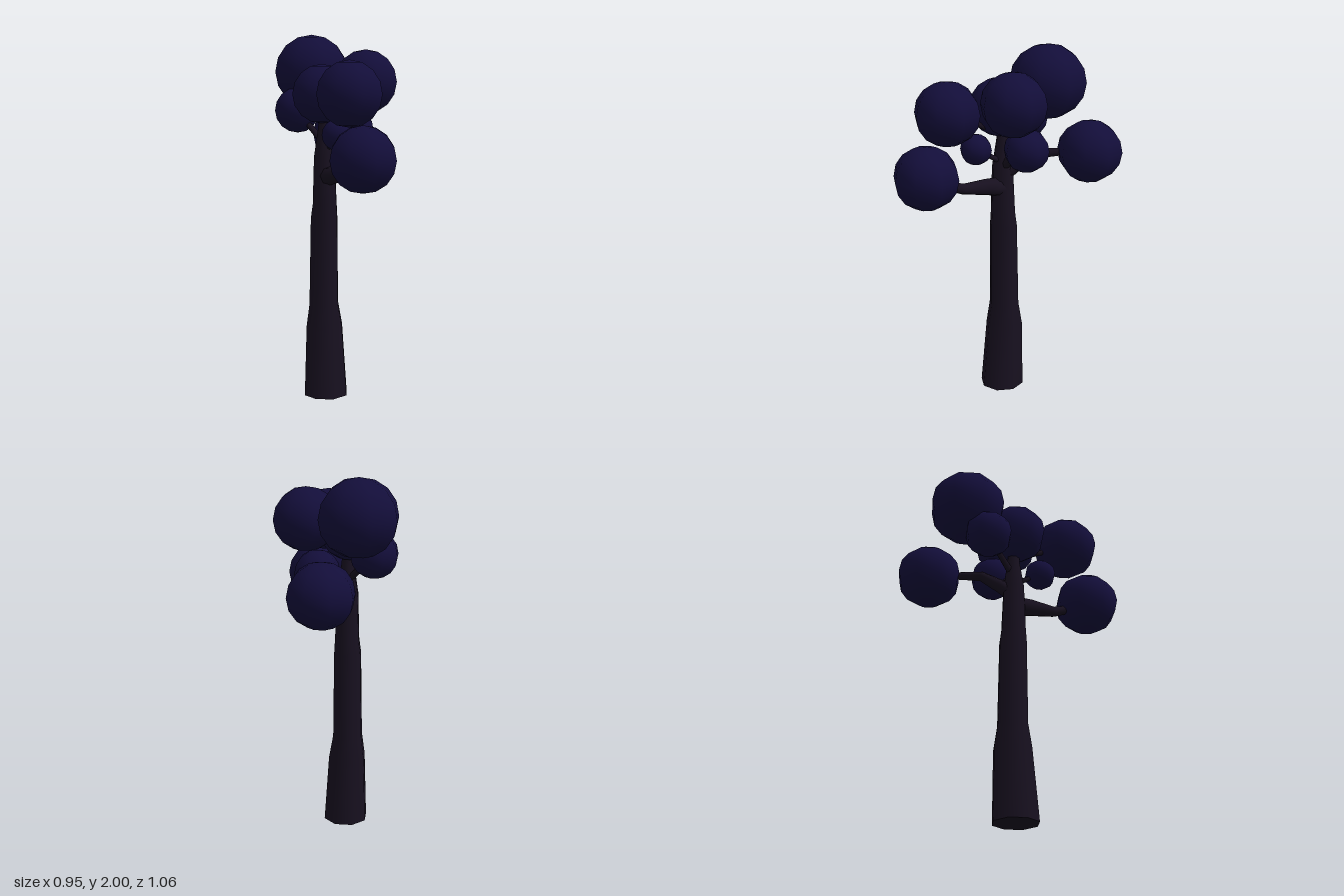
import * as THREE from 'three';
import { toCreasedNormals } from 'three/addons/utils/BufferGeometryUtils.js';

const SIDES = 8;
const barkMaterial = new THREE.MeshStandardMaterial({ color: 0x17101f });
const leafMaterial = new THREE.MeshStandardMaterial({ color: 0x130e3a });

// Tapered limb through sections [x, y, z, radius], closed at both ends
function limbGeometry(sections) {
  const centres = sections.map(([x, y, z]) => new THREE.Vector3(x, y, z));
  const last = centres.length - 1;
  const axis = centres[last].clone().sub(centres[0]).normalize();
  // A near-vertical limb keeps its rings level, so its foot sits flat
  if (axis.y > 0.98) axis.set(0, 1, 0);
  const turn = new THREE.Quaternion().setFromUnitVectors(new THREE.Vector3(0, 1, 0), axis);
  const positions = [];
  const indices = [];
  sections.forEach(([, , , r], i) => {
    for (let s = 0; s < SIDES; s++) {
      const a = (s / SIDES) * Math.PI * 2 + 0.33;
      const p = new THREE.Vector3(Math.sin(a) * r, 0, Math.cos(a) * r).applyQuaternion(turn).add(centres[i]);
      positions.push(p.x, p.y, p.z);
      if (i === last) continue;
      const n = (s + 1) % SIDES;
      const a0 = i * SIDES + s, a1 = i * SIDES + n;
      indices.push(a0, a1, a1 + SIDES, a0, a1 + SIDES, a0 + SIDES);
    }
  });
  for (let s = 1; s < SIDES - 1; s++) {
    indices.push(0, s + 1, s);
    const t = last * SIDES;
    indices.push(t, t + s, t + s + 1);
  }
  const geometry = new THREE.BufferGeometry();
  geometry.setAttribute('position', new THREE.Float32BufferAttribute(positions, 3));
  geometry.setIndex(indices);
  return toCreasedNormals(geometry, 1.1);
}

function addLimb(group, name, sections) {
  const mesh = new THREE.Mesh(limbGeometry(sections), barkMaterial);
  mesh.name = name;
  group.add(mesh);
}

export function createModel() {
  const tree = new THREE.Group();
  tree.name = 'tree';

  // Trunk: flared foot, stepped taper
  addLimb(tree, 'trunk', [
    [-0.115, 0, -0.082, 0.126],
    [-0.108, 0.39, -0.098, 0.106],
    [-0.11, 0.52, -0.1, 0.085],
    [-0.11, 1.0, -0.095, 0.078],
    [-0.11, 1.08, -0.09, 0.07],
    [-0.112, 1.34, -0.09, 0.06],
    [-0.11, 1.5, -0.09, 0.036],
    [-0.12, 1.68, -0.09, 0.025],
  ]);

  // Branches reaching into the leaf clumps
  const branches = {
    lowFrontBranch: [[-0.11, 1.23, -0.08, 0.055], [-0.145, 1.25, 0.02, 0.048], [-0.2, 1.27, 0.17, 0.03], [-0.28, 1.32, 0.3, 0.022]],
    backBranch: [[-0.11, 1.3, -0.09, 0.05], [-0.05, 1.35, -0.14, 0.038], [0.03, 1.41, -0.2, 0.028], [0.24, 1.44, -0.3, 0.018]],
    smallFrontTwig: [[-0.11, 1.38, -0.07, 0.016], [-0.15, 1.43, 0.01, 0.013], [-0.18, 1.47, 0.07, 0.01]],
    smallSideTwig: [[-0.1, 1.34, -0.08, 0.028], [-0.04, 1.41, -0.06, 0.024], [0.06, 1.47, -0.045, 0.016]],
    smallBackTwig: [[-0.11, 1.42, -0.1, 0.02], [-0.1, 1.57, -0.3, 0.012]],
    highFrontTwig: [[-0.12, 1.55, -0.06, 0.02], [-0.24, 1.68, 0.2, 0.012]],
    highSideTwig: [[-0.1, 1.58, -0.08, 0.02], [0.04, 1.74, 0.05, 0.012]],
    highBackTwig: [[-0.1, 1.58, -0.12, 0.02], [0.03, 1.78, -0.3, 0.012]],
  };
  for (const [name, sections] of Object.entries(branches)) addLimb(tree, name, sections);

  // Leaf clumps: [x, y, z, radius]
  const clumps = {
    topClump: [0.036, 1.795, -0.325, 0.21],
    highFrontClump: [-0.255, 1.69, 0.225, 0.176],
    highSideClump: [0.055, 1.745, 0.062, 0.176],
    lowFrontClump: [-0.303, 1.365, 0.36, 0.176],
    lowBackClump: [0.3, 1.435, -0.335, 0.176],
    crownClump: [-0.13, 1.68, -0.09, 0.163],
    innerSideClump: [0.07, 1.475, -0.045, 0.122],
    innerBackClump: [-0.1, 1.585, -0.305, 0.128],
    innerFrontClump: [-0.18, 1.47, 0.07, 0.086],
  };
  const ball = new THREE.SphereGeometry(1, SIDES, SIDES);
  for (const [name, [x, y, z, r]] of Object.entries(clumps)) {
    const mesh = new THREE.Mesh(ball, leafMaterial);
    mesh.name = name;
    mesh.position.set(x, y, z);
    mesh.scale.set(r * 1.03, r * 0.98, r * 1.03);
    mesh.rotation.y = 0.33;
    tree.add(mesh);
  }
  return tree;
}
